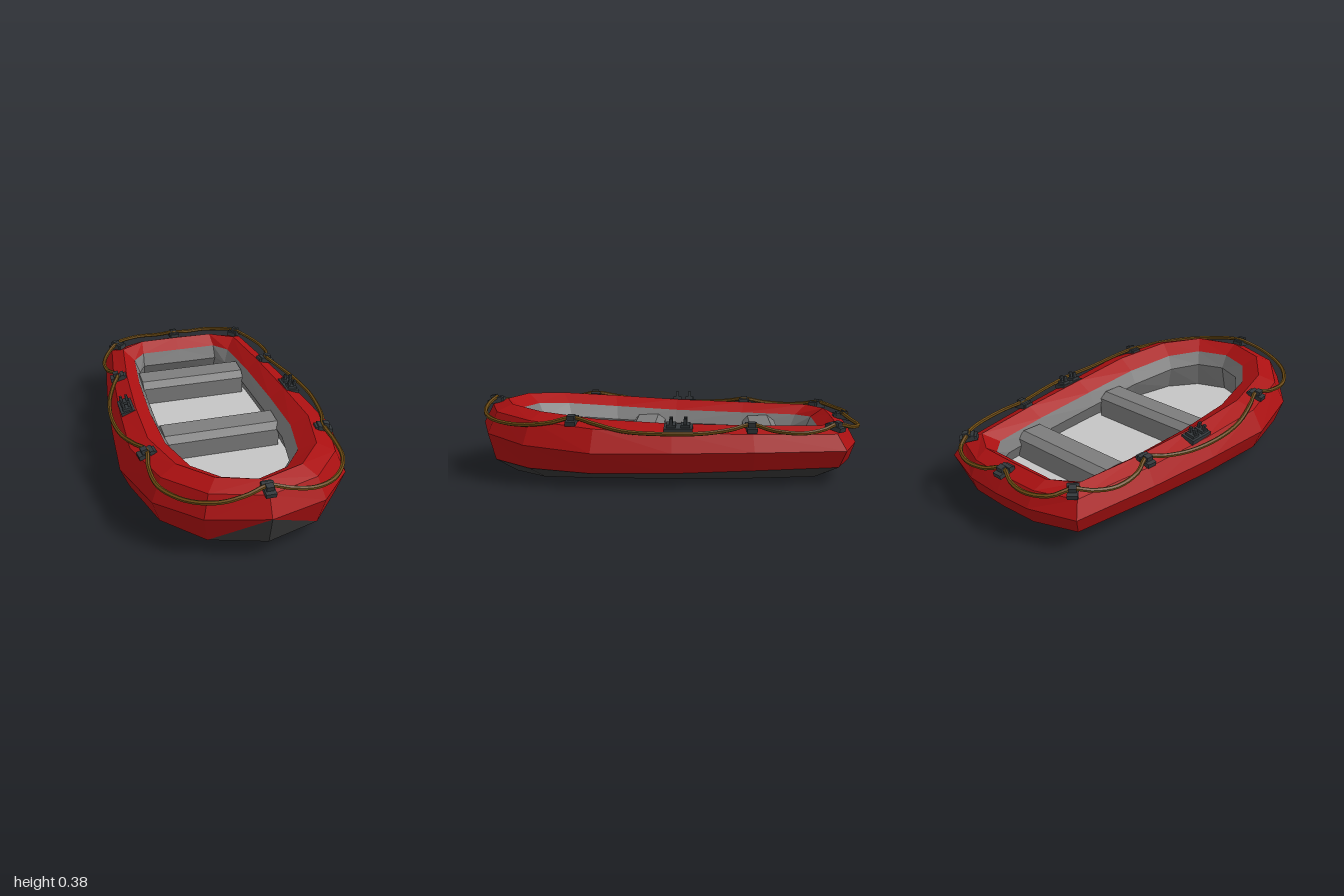
import * as THREE from 'three';

const flat = (name, color, extra = {}) => {
  const m = new THREE.MeshStandardMaterial({ color, flatShading: true, ...extra });
  m.name = name;
  return m;
};

// Half outline, bow to stern: outer [x, z], inner [x, z], sheer (top), waist and chine heights
const stations = [
  [0, 0.99, 0, 0.78, 0.365, 0.235, 0.085],
  [0.29, 0.9, 0.16, 0.72, 0.365, 0.225, 0.085],
  [0.48, 0.68, 0.27, 0.57, 0.35, 0.203, 0.08],
  [0.57, 0.34, 0.33, 0.3, 0.325, 0.183, 0.075],
  [0.545, -0.05, 0.335, -0.04, 0.305, 0.18, 0.075],
  [0.505, -0.45, 0.32, -0.42, 0.295, 0.18, 0.085],
  [0.44, -0.9, 0.29, -0.72, 0.29, 0.18, 0.093],
  [0.2, -0.98, 0.22, -0.8, 0.29, 0.18, 0.095],
  [0, -0.99, 0, -0.8, 0.29, 0.18, 0.095],
];
const last = stations.length - 1;

// A ring lies a fraction t of the way from the outer to the inner outline
const ring = (t, y) => stations.map((s, i) => {
  const k = t(i);
  return new THREE.Vector3(
    THREE.MathUtils.lerp(s[0], s[2], k), y(s, i), THREE.MathUtils.lerp(s[1], s[3], k));
});
const at = (t) => () => t;

// Triangles of one strip between two rings, on the +x half
function strip(a, b) {
  const tris = [];
  for (let i = 0; i < last; i++) {
    tris.push([a[i], b[i + 1], a[i + 1]], [a[i], b[i], b[i + 1]]);
  }
  return tris;
}

// Mesh from half-hull triangles, mirrored to the other side
function mirroredMesh(name, tris, material) {
  const pos = [];
  for (const [a, b, c] of tris) {
    if (new THREE.Triangle(a, b, c).getArea() < 1e-6) continue;
    for (const p of [a, b, c]) pos.push(p.x, p.y, p.z);
    for (const p of [a, c, b]) pos.push(-p.x, p.y, p.z);
  }
  const g = new THREE.BufferGeometry();
  g.setAttribute('position', new THREE.Float32BufferAttribute(pos, 3));
  g.computeVertexNormals();
  const m = new THREE.Mesh(g, material);
  m.name = name;
  return m;
}

function box(name, w, h, d, x, y, z, material) {
  const m = new THREE.Mesh(new THREE.BoxGeometry(w, h, d), material);
  m.position.set(x, y, z);
  m.name = name;
  return m;
}

export function createModel() {
  const boat = new THREE.Group();
  boat.name = 'inflatableBoat';
  const red = flat('red rubber', 0xaa1011);
  const dark = flat('dark hull', 0x363636);
  const grey = flat('grey lining', 0x7c7c7c);
  const pale = flat('pale floor', 0xc4c4c4);
  const metal = flat('dark fittings', 0x33383b);
  const ropeMat = flat('rope', 0x6b4a12);

  // Hull cross-section rings, from the floor over the tube to the keel
  const floorY = 0.1;
  const floorEdge = ring(at(1), () => floorY);
  const floorMid = floorEdge.map((p) => new THREE.Vector3(0, floorY, p.z));
  const bulge = ring(at(1.17), (s) => s[4] - 0.12);
  const innerLip = ring(at(1), (s) => s[4] - 0.05);
  const crown = ring(at(0.63), (s) => s[4]);
  const shoulder = ring(at(0.24), (s) => s[4] - 0.033);
  const waist = ring(at(0), (s) => s[5]);
  const chine = ring(at(0.18), (s) => s[6]);
  const bilge = ring((i) => (i === 0 ? 0.9 : i >= 6 ? 0.78 : 0.7), (s, i) => (i < 3 ? 0.012 : 0.024));
  const keel = bilge.map((p) => new THREE.Vector3(0, 0.002, p.z * 0.8));

  const side = strip(waist, chine);
  const bowPatch = side.splice(1, 1); // dark wedge reaching up at the bow
  boat.add(
    mirroredMesh('floor', strip(floorMid, floorEdge), pale),
    mirroredMesh('innerLining', [...strip(floorEdge, bulge), ...strip(bulge, innerLip)], grey),
    mirroredMesh('tube', [...strip(innerLip, crown), ...strip(crown, shoulder),
      ...strip(shoulder, waist), ...side], red),
    mirroredMesh('bottom', [...bowPatch, ...strip(chine, bilge), ...strip(bilge, keel)], dark),
  );

  // Bench seats with chamfered tops
  const profile = new THREE.Shape([[-0.09, 0.1], [0.09, 0.1], [0.09, 0.195], [0.06, 0.23],
    [-0.05, 0.235], [-0.09, 0.205]].map(([x, y]) => new THREE.Vector2(x, y)));
  for (const [z, half] of [[0.11, 0.305], [-0.51, 0.295]]) {
    const g = new THREE.ExtrudeGeometry(profile, { depth: half * 2, bevelEnabled: false });
    g.translate(0, 0, -half).rotateY(-Math.PI / 2);
    const bench = new THREE.Mesh(g, grey);
    bench.name = 'bench';
    bench.position.z = z;
    boat.add(bench);
  }

  // Rope clips: local +z points outboard
  function clip(x, y, z, angle) {
    const c = new THREE.Group();
    c.name = 'ropeClip';
    c.rotation.set(0.2, angle, 0, 'YXZ');
    c.position.set(x, y, z);
    c.add(
      box('clipPlate', 0.05, 0.022, 0.09, 0, 0, 0, metal),
      box('clipStrap', 0.036, 0.028, 0.03, 0, 0.02, 0.01, metal),
      box('clipTab', 0.058, 0.026, 0.02, 0, 0.006, -0.022, metal),
    );
    boat.add(c);
  }
  clip(0, 0.352, 0.92, 0);
  clip(0, 0.278, -0.935, Math.PI);
  for (const s of [1, -1]) {
    clip(s * 0.45, 0.32, 0.44, s * 1.45);
    clip(s * 0.435, 0.289, -0.435, s * 1.65);
    clip(s * 0.37, 0.284, -0.85, s * 2.4);
  }

  // Grab rope sagging outboard between the clips
  const half = [
    [0, 0.372, 0.92], [0.1, 0.352, 0.937], [0.22, 0.325, 0.925], [0.35, 0.306, 0.85],
    [0.45, 0.3, 0.7], [0.465, 0.313, 0.55], [0.45, 0.337, 0.44], [0.49, 0.315, 0.33],
    [0.53, 0.285, 0.18], [0.547, 0.277, 0], [0.525, 0.277, -0.2], [0.48, 0.29, -0.34],
    [0.44, 0.308, -0.435], [0.478, 0.285, -0.54], [0.478, 0.273, -0.68], [0.43, 0.285, -0.79],
    [0.375, 0.302, -0.855], [0.32, 0.28, -0.94], [0.21, 0.272, -0.988], [0.09, 0.275, -0.975],
    [0, 0.298, -0.94],
  ];
  const loop = [...half, ...half.slice(1, -1).reverse().map(([x, y, z]) => [-x, y, z])];
  const curve = new THREE.CatmullRomCurve3(loop.map((p) => new THREE.Vector3(...p)), true);
  const rope = new THREE.Mesh(new THREE.TubeGeometry(curve, 160, 0.011, 6, true), ropeMat);
  rope.name = 'grabRope';
  boat.add(rope);

  // Oar holders: plate with two pairs of prongs on each side
  for (const s of [1, -1]) {
    const holder = new THREE.Group();
    holder.name = 'oarHolder';
    holder.position.set(s * 0.455, 0.288, -0.08);
    holder.rotation.z = -s * 0.18;
    holder.add(box('holderPlate', 0.075, 0.024, 0.14, 0, 0, 0, metal));
    for (const z of [-0.035, 0.035]) {
      holder.add(box('prongBase', 0.05, 0.016, 0.045, 0, 0.018, z, metal));
      for (const x of [-0.015, 0.015]) {
        holder.add(box('prong', 0.014, 0.045, 0.016, x, 0.032, z, metal));
      }
    }
    boat.add(holder);
  }
  return boat;
}
